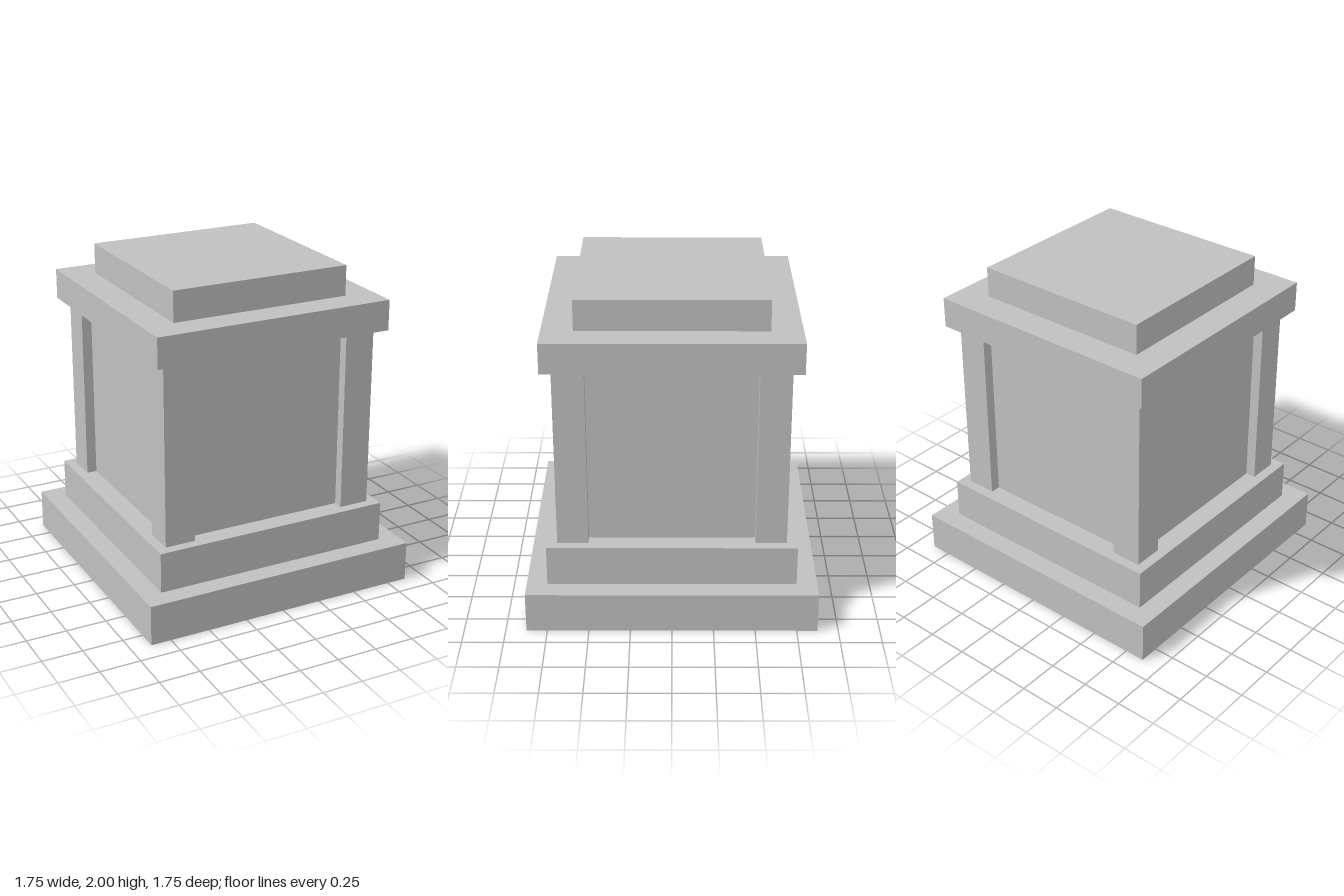
import * as THREE from 'three';

export function createModel() {
  const model = new THREE.Group();
  model.name = 'pedestal';
  const stone = new THREE.MeshStandardMaterial({ color: 0xc0c0c0 });
  stone.name = 'stone grey';

  // Square block from y0 to y1, centred on (x, z)
  function block(name, width, y0, y1, x = 0, z = 0) {
    const mesh = new THREE.Mesh(new THREE.BoxGeometry(width, y1 - y0, width), stone);
    mesh.position.set(x, (y0 + y1) / 2, z);
    mesh.name = name;
    model.add(mesh);
  }

  // Stepped base
  block('lowerPlinth', 1.75, 0, 0.25);
  block('upperPlinth', 1.5, 0.25, 0.5);

  // Recessed shaft with a post at each corner
  block('shaft', 1.25, 0.5, 1.625);
  const postWidth = 0.1875;
  const postCentre = 0.6875 - postWidth / 2;
  for (const [sideX, x] of [['left', 1], ['right', -1]]) {
    for (const [sideZ, z] of [['Front', 1], ['Back', -1]]) {
      block(`${sideX}${sideZ}Post`, postWidth, 0.5, 1.625, x * postCentre, z * postCentre);
    }
  }

  // Stepped cap
  block('cornice', 1.5, 1.625, 1.8125);
  block('capSlab', 1.125, 1.8125, 2);

  return model;
}
